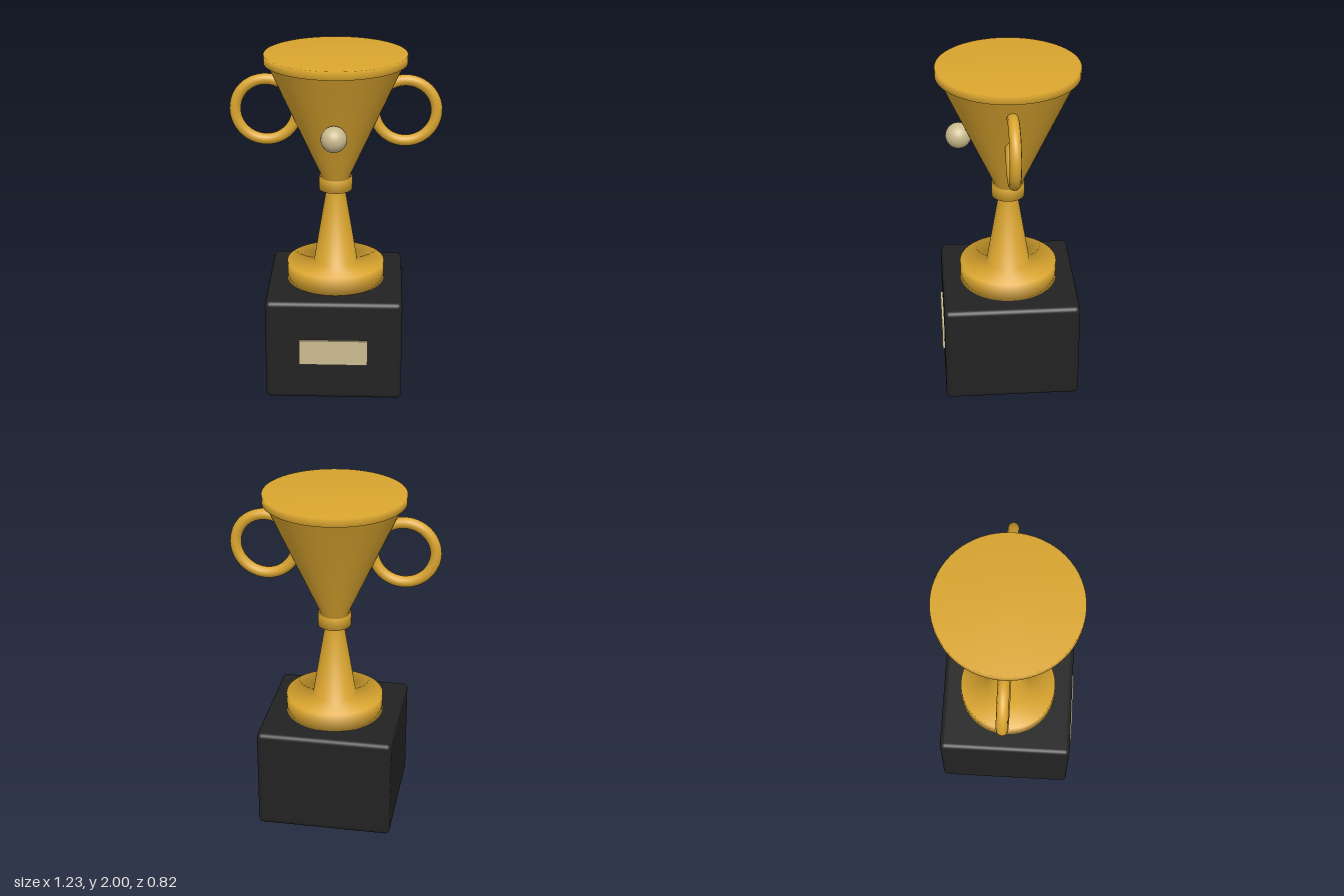
import * as THREE from 'three';
import { RoundedBoxGeometry } from 'three/addons/geometries/RoundedBoxGeometry.js';

export function createModel() {
  const gold = new THREE.MeshStandardMaterial({ name: 'gold', color: 0xdaa52f });
  const black = new THREE.MeshStandardMaterial({ name: 'black', color: 0x222222 });
  const champagne = new THREE.MeshStandardMaterial({ name: 'champagne', color: 0xcabb8e });

  const trophy = new THREE.Group();
  trophy.name = 'trophy';

  const add = (name, geometry, material, x, y, z) => {
    const mesh = new THREE.Mesh(geometry, material);
    mesh.name = name;
    mesh.position.set(x, y, z);
    trophy.add(mesh);
    return mesh;
  };

  // Rounded block and its front plate
  add('plinth', new RoundedBoxGeometry(0.8, 0.62, 0.8, 4, 0.03), black, 0, 0.31, 0);
  add('plaque', new THREE.BoxGeometry(0.4, 0.155, 0.02), champagne, 0, 0.307, 0.403);

  // Foot, stem, collar, bowl and closed rim turned as one softly shaded profile
  const profile = [
    [0, 0.61], [0.29, 0.61], [0.29, 0.73], // foot
    [0.13, 0.73], [0.055, 1.185], // stem
    [0.098, 1.185], [0.098, 1.26], // collar
    [0.08, 1.26], [0.393, 1.95], // bowl
    [0.412, 1.95], [0.412, 2], [0, 2], // rim
  ].map(([r, y]) => new THREE.Vector2(r, y));
  add('cup', new THREE.LatheGeometry(profile, 64), gold, 0, 0, 0);

  // Ring handles sunk into the bowl on both sides
  const ring = new THREE.TorusGeometry(0.18, 0.033, 12, 48);
  for (const [side, name] of [[1, 'leftHandle'], [-1, 'rightHandle']]) {
    add(name, ring, gold, side * 0.402, 1.667, 0);
  }

  // Small ball ornament on the front of the bowl
  add('frontBall', new THREE.SphereGeometry(0.075, 24, 16), champagne, 0, 1.577, 0.285);

  return trophy;
}
